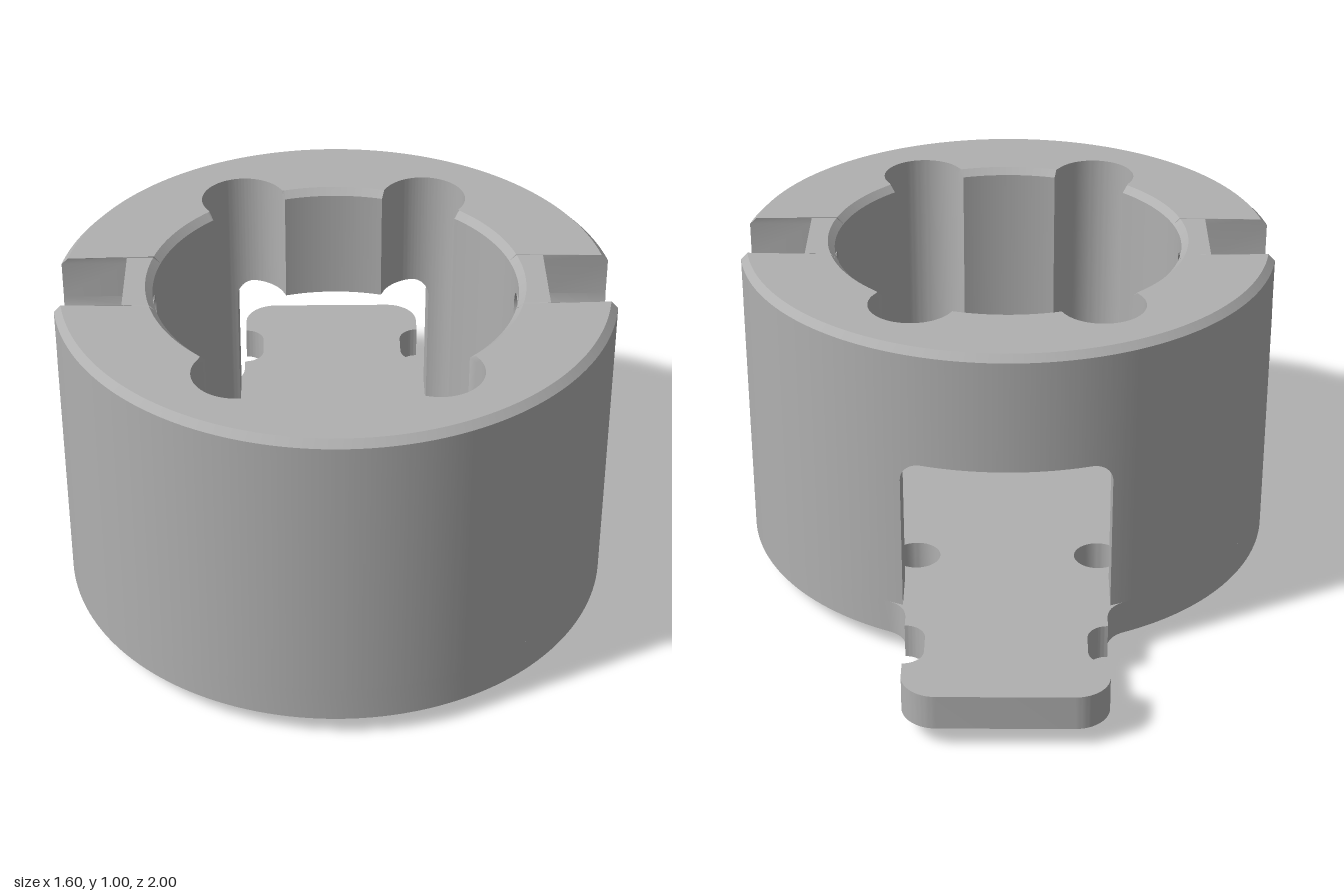
import * as THREE from 'three';
import { toCreasedNormals } from 'three/addons/utils/BufferGeometryUtils.js';

const R_OUT = 0.8, R_IN = 0.52, R_IN_TOP = 0.54;      // ring wall radii
const FLOOR = 0.165, TOP = 1, EDGE = 0.02;            // heights and chamfer
const LOBE = { x: 0.27, s: 0.47, r: 0.125 };          // corner bores in the wall
const SLOT = { y: 0.87, r: 0.13, back: 0.6 };         // side notches
const WIN = { half: 0.3, top: 0.64, r: 0.06 };        // rear window

// Plan coordinates are (x, s) with s pointing to the back (s = -z).
const half = (r, d) => Math.sqrt(Math.max(0, r * r - d * d));
const polar = (r, a) => [r * Math.cos(a), r * Math.sin(a)];
const toRadius = ([x, s], r) => { const k = r / Math.hypot(x, s); return [x * k, s * k]; };
const at = ([x, s], y) => new THREE.Vector3(x, y, -s);

// Radius of the inner wall at an angle, including the four lobes
function innerRadius(a) {
  const d = Math.hypot(LOBE.x, LOBE.s), phi = Math.atan2(LOBE.s, LOBE.x);
  let r = R_IN;
  for (const p of [phi, Math.PI - phi, Math.PI + phi, -phi]) {
    const q = LOBE.r ** 2 - (d * Math.sin(a - p)) ** 2;
    if (q > 0 && Math.cos(a - p) > 0) r = Math.max(r, d * Math.cos(a - p) + Math.sqrt(q));
  }
  return r;
}

function innerDepth(x) {
  const dx = Math.abs(x) - LOBE.x;
  const lobe = Math.abs(dx) < LOBE.r ? LOBE.s + half(LOBE.r, dx) : 0;
  return Math.max(half(R_IN, x), lobe);
}

// Collects quads and lofts into one smooth geometry with sharp edges
class Surface {
  constructor() { this.p = []; }
  tri(a, b, c) {
    const n = b.clone().sub(a).cross(c.clone().sub(a));
    if (n.length() > 1e-9) for (const v of [a, b, c]) this.p.push(v.x, v.y, v.z);
  }
  quad(a, b, c, d) { this.tri(a, b, c); this.tri(a, c, d); }
  loft(rows) {
    for (let i = 0; i + 1 < rows.length; i++)
      for (let k = 0; k + 1 < rows[i].length; k++)
        this.quad(rows[i][k], rows[i + 1][k], rows[i + 1][k + 1], rows[i][k + 1]);
  }
  geometry() {
    const g = new THREE.BufferGeometry();
    g.setAttribute('position', new THREE.Float32BufferAttribute(this.p, 3));
    return toCreasedNormals(g, 0.55);
  }
}

// Closed vertical section of the wall, chamfered at the top
function section(i, o, y0) {
  const it = toRadius(i, Math.max(Math.hypot(...i), R_IN_TOP)), ot = toRadius(o, R_OUT - EDGE);
  return [at(o, y0), at(o, TOP - EDGE), at(ot, TOP), at(it, TOP), at(i, TOP - EDGE), at(i, y0), at(o, y0)];
}

function plainWall(surf, in0, in1, out0, out1, n) {
  const rows = [];
  for (let k = 0; k <= n; k++) {
    const a = in0 + (in1 - in0) * k / n, b = out0 + (out1 - out0) * k / n;
    rows.push(section(polar(innerRadius(a), a), polar(R_OUT, b), FLOOR));
  }
  surf.loft(rows);
}

// Rear wall above the round-cornered window
function rearWall(surf) {
  const rows = [], n = 160;
  for (let k = 0; k <= n; k++) {
    const x = WIN.half * Math.cos(Math.PI * k / n);
    const y = WIN.top - WIN.r + half(WIN.r, Math.max(0, Math.abs(x) - WIN.half + WIN.r));
    rows.push(section([x, innerDepth(x)], [x, half(R_OUT, x)], y));
  }
  surf.loft(rows);
  for (const m of [1, -1]) {
    const x = m * WIN.half, i = [x, innerDepth(x)], o = [x, half(R_OUT, x)], y = WIN.top - WIN.r;
    const c = [at(i, FLOOR), at(o, FLOOR), at(o, y), at(i, y)];
    surf.quad(...(m > 0 ? c : c.reverse()));
  }
}

// Side wall with the U notch, the bore and, on one side, a small pin hole
function sideWall(surf, m, pinR) {
  const P = (x, s, y) => at([m * x, m * s], y);
  const set = new Set();
  for (const r of [0.13, 0.1, 0.07, 0.04])
    for (let k = 0; k <= 16; k++) set.add(+(r * Math.cos(Math.PI * k / 16)).toFixed(5));
  const ss = [...set].sort((a, b) => a - b);
  const build = f => surf.loft(ss.map(s => f(s, half(R_IN, s), half(R_OUT, s), half(pinR, s))));
  const Y = SLOT.y, B = SLOT.back, PIN = 0.48;
  build((s, xi, xo, h) => [P(xo, s, FLOOR), P(xo, s, PIN - h)]);
  build((s, xi, xo, h) => [P(xo, s, PIN + h), P(xo, s, Y - half(SLOT.r, s)), P(B + 0.02, s, Y - half(SLOT.r, s))]);
  build(s => [P(Math.max(B, B + 0.02 - (SLOT.r - Math.abs(s)) * 2 / 3), s, Y), P(B, s, Y)]);
  build((s, xi) => [P(B, s, Y + half(0.1, s)), P(B, s, TOP), P(half(R_IN_TOP, s), s, TOP),
    P(xi, s, TOP - EDGE), P(xi, s, Y + half(0.07, s))]);
  build((s, xi, xo, h) => [P(xi, s, Y - half(0.07, s)), P(xi, s, PIN + h)]);
  build((s, xi, xo, h) => [P(xi, s, PIN - h), P(xi, s, FLOOR), P(xo, s, FLOOR)]);
  // upright cheeks of the notch
  for (const e of [1, -1]) {
    const s = e * SLOT.r, xo = half(R_OUT, s), [xt, st] = toRadius([xo, s], R_OUT - EDGE);
    const lower = [P(B, s, Y), P(xo, s, Y), P(xo, s, TOP - EDGE), P(B, s, TOP - EDGE)];
    const upper = [P(B, s, TOP - EDGE), P(xo, s, TOP - EDGE), P(xt, st, TOP), P(B, s, TOP)];
    for (const q of [lower, upper]) surf.quad(...(e > 0 ? q : q.reverse()));
  }
}

// Horizontal plate from a plan outline, with round holes [x, s, r]
function plate(points, holes, y0, y1) {
  const shape = new THREE.Shape(points);
  for (const [x, s, r] of holes) shape.holes.push(new THREE.Path().absarc(x, s, r, 0, Math.PI * 2, true));
  const g = new THREE.ExtrudeGeometry(shape, { depth: y1 - y0, bevelEnabled: false, curveSegments: 24 });
  return g.rotateX(-Math.PI / 2).translate(0, y0, 0);
}

function arcPoints(r, a0, a1, n) {
  return Array.from({ length: n }, (_, k) => new THREE.Vector2(...polar(r, a0 + (a1 - a0) * k / n)));
}

export function createModel() {
  const root = new THREE.Group();
  root.name = 'ringHousing';
  const body = new THREE.Group();
  body.position.z = 0.2;
  body.name = 'housing';
  root.add(body);
  const grey = new THREE.MeshStandardMaterial({ color: 0xb0b0b0, side: THREE.DoubleSide });
  grey.name = 'plain grey';
  const add = (name, g) => {
    const mesh = new THREE.Mesh(g, grey);
    mesh.name = name;
    body.add(mesh);
    return mesh;
  };

  // Ring wall
  const wall = new Surface(), PI = Math.PI;
  const si = Math.asin(SLOT.r / R_IN), so = Math.asin(SLOT.r / R_OUT);
  const wi = Math.atan2(innerDepth(WIN.half), WIN.half), wo = Math.acos(WIN.half / R_OUT);
  sideWall(wall, 1, 0.04);
  plainWall(wall, si, wi, so, wo, 96);
  rearWall(wall);
  plainWall(wall, PI - wi, PI - si, PI - wo, PI - so, 96);
  sideWall(wall, -1, 0);
  plainWall(wall, PI + si, 2 * PI - si, PI + so, 2 * PI - so, 260);
  add('ringWall', wall.geometry());

  // Cross bores, countersinks and pin hole
  const tube = (name, m, r0, r1, x0, x1, y, sweep = PI * 2) => {
    const g = new THREE.CylinderGeometry(r1, r0, x1 - x0, 40, 1, true, 0, sweep);
    g.rotateZ(-PI / 2).translate((x0 + x1) / 2, y, 0);
    if (m < 0) g.rotateY(PI);
    add(name, g);
  };
  for (const m of [1, -1]) {
    tube('sideBore', m, 0.07, 0.07, 0.517, 0.58, SLOT.y);
    tube('countersink', m, 0.07, 0.1, 0.58, 0.6, SLOT.y);
    tube('countersinkLip', m, 0.1, 0.13, 0.6, 0.62, SLOT.y, PI);
  }
  tube('pinHole', 1, 0.04, 0.04, 0.519, 0.799, 0.48);

  // Bolt holes shared by the floor and base
  const bolts = [];
  for (const a of [1, -1]) for (const b of [1, -1])
    bolts.push([a * LOBE.x, b * LOBE.s, 0.07], [a * 0.42, b * 0.243, 0.08]);

  // Floor with the notched rear tongue
  const edge = new THREE.Path().moveTo(0.34, 0.724);
  edge.quadraticCurveTo(0.29, 0.75, 0.29, 0.81);
  edge.lineTo(0.29, 0.85);
  edge.absarc(0.29, 0.91, 0.06, -PI / 2, -PI, true);
  edge.lineTo(0.23, 0.98);
  edge.absarc(0.29, 0.98, 0.06, PI, PI / 2, true);
  edge.lineTo(0.29, 1.1);
  edge.absarc(0.19, 1.1, 0.1, 0, PI / 2, false);
  const right = edge.getPoints(12);
  const left = right.map(p => new THREE.Vector2(-p.x, p.y)).reverse();
  const a0 = Math.atan2(0.724, 0.34);
  const rim = arcPoints(R_OUT, PI - a0, 2 * PI + a0, 150).slice(1);
  add('floorAndTongue', toCreasedNormals(plate([...right, ...left, ...rim], bolts, 0.06, FLOOR), 0.5));

  // Base disc, with a chamfered lower edge and a shallow round recess
  const disc = arcPoints(0.68, 0, PI * 2, 120);
  add('baseDisc', toCreasedNormals(plate(disc, bolts, 0.012, 0.06), 0.5));
  const foot = plate(disc, [...bolts, [0, 0, 0.365]], 0, 0.012);
  const pos = foot.attributes.position;
  for (let i = 0; i < pos.count; i++) {
    const x = pos.getX(i), z = pos.getZ(i);
    if (pos.getY(i) < 0.006 && Math.hypot(x, z) > 0.67) pos.setXYZ(i, x * 0.983, 0, z * 0.983);
  }
  add('baseFoot', toCreasedNormals(foot, 0.5));
  return root;
}
